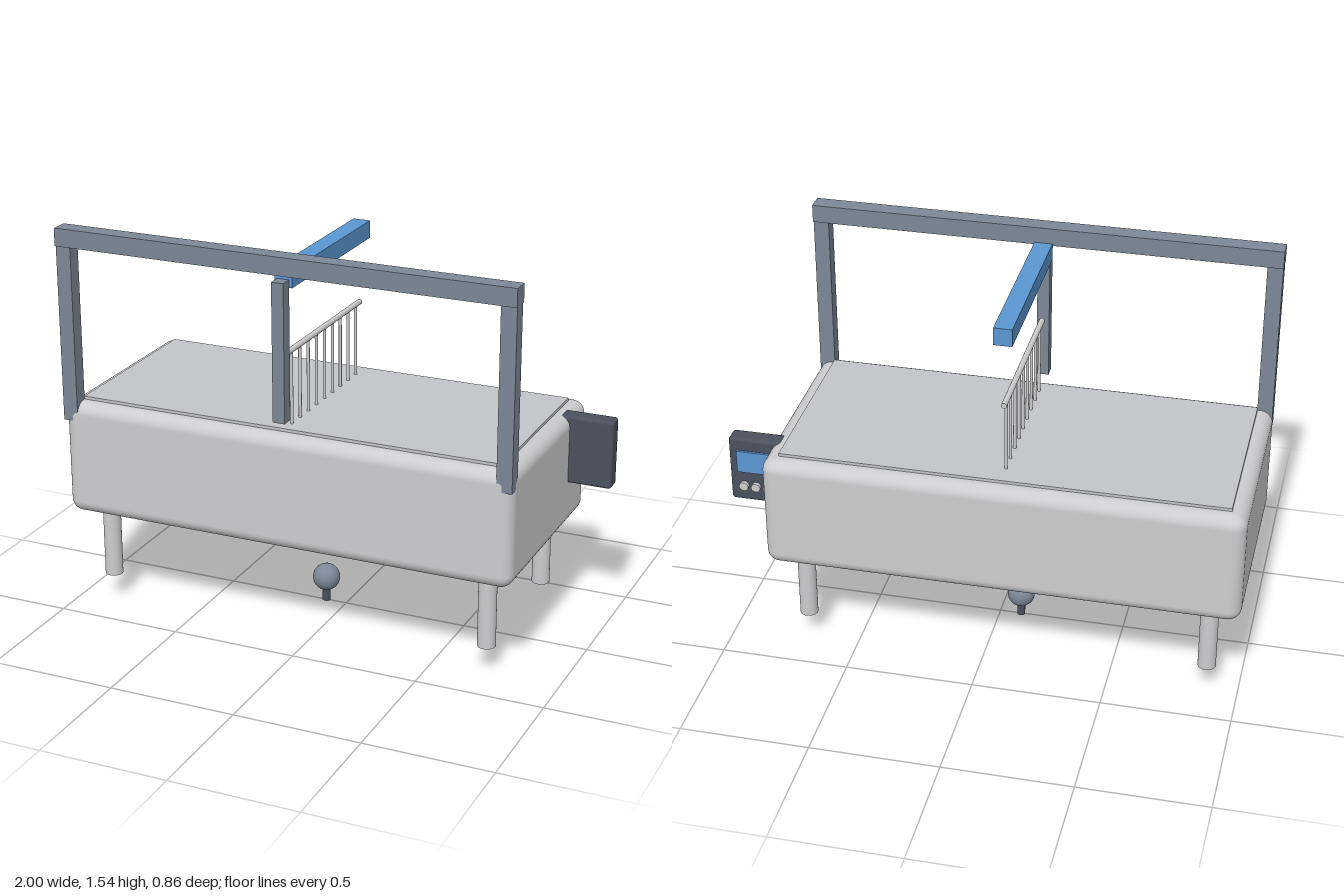
import * as THREE from 'three';
import { RoundedBoxGeometry } from 'three/addons/geometries/RoundedBoxGeometry.js';

const material = (name, color) => {
  const m = new THREE.MeshStandardMaterial({ color });
  m.name = name;
  return m;
};

export function createModel() {
  const model = new THREE.Group();
  model.name = 'gantryTable';
  const shell = material('light grey', 0xcdcdcf);
  const surface = material('table grey', 0xc3c4c8);
  const slate = material('slate', 0x7c8896);
  const dark = material('dark slate', 0x4a515e);
  const blue = material('blue', 0x5b96d2);
  const cx = -0.085; // centre line of the table

  const add = (name, geometry, mat, x, y, z, parent = model) => {
    const mesh = new THREE.Mesh(geometry, mat);
    mesh.name = name;
    mesh.position.set(x, y, z);
    parent.add(mesh);
    return mesh;
  };
  // Box given by its limits on each axis
  const box = (name, mat, [x0, x1], [y0, y1], [z0, z1], parent, radius = 0) => {
    const size = [x1 - x0, y1 - y0, z1 - z0];
    const geometry = radius
      ? new RoundedBoxGeometry(...size, 5, radius)
      : new THREE.BoxGeometry(...size);
    return add(name, geometry, mat, (x0 + x1) / 2, (y0 + y1) / 2, (z0 + z1) / 2, parent);
  };
  const group = (name) => {
    const g = new THREE.Group();
    g.name = name;
    model.add(g);
    return g;
  };

  // Table body and top plate
  box('tableBody', shell, [-1, 0.83], [0.39, 0.848], [-0.43, 0.425], model, 0.05);
  box('tableTop', surface, [-0.94, 0.77], [0.84, 0.86], [-0.37, 0.367]);

  // Legs
  const legs = group('legs');
  for (const x of [-0.875, 0.705])
    for (const z of [-0.305, 0.305])
      add('leg', new THREE.CylinderGeometry(0.035, 0.035, 0.31, 32), shell, x, 0.255, z, legs);

  // Gantry frame along the front edge
  const gantry = group('gantry');
  for (const side of [-1, 1])
    box('post', slate, [cx + side * 0.884 - 0.03, cx + side * 0.884 + 0.03],
      [0.775, 1.48], [0.367, 0.424], gantry);
  box('crossBeam', slate, [-1, 0.83], [1.47, 1.54], [0.36, 0.43], gantry);
  box('hangingPost', slate, [cx - 0.024, cx + 0.024], [0.9, 1.44], [0.37, 0.42], gantry);
  box('carriageArm', blue, [cx - 0.035, cx + 0.035], [1.409, 1.478], [-0.342, 0.367], gantry);

  // Comb of thin rods below the arm
  const comb = group('comb');
  const bar = add('combBar', new THREE.CylinderGeometry(0.011, 0.011, 0.67, 20), shell, cx, 1.15, 0.013, comb);
  bar.rotation.x = Math.PI / 2;
  for (let i = 0; i < 9; i++)
    add('tine', new THREE.CylinderGeometry(0.006, 0.006, 0.29, 12), shell, cx, 1.0, 0.306 - i * 0.0735, comb);

  // Control panel facing backwards
  const panel = group('controlPanel');
  box('panelCase', dark, [0.79, 1], [0.575, 0.848], [-0.285, -0.214], panel, 0.013);
  box('screen', blue, [0.828, 0.968], [0.705, 0.797], [-0.294, -0.2845], panel);
  [[0.945, shell], [0.897, shell], [0.85, blue]].forEach(([x, mat]) => {
    const knob = add('knob', new THREE.CylinderGeometry(0.018, 0.018, 0.02, 24), mat, x, 0.643, -0.29, panel);
    knob.rotation.x = Math.PI / 2;
  });

  // Small ball on a stem under the table
  const sensor = group('floorBall');
  add('ball', new THREE.SphereGeometry(0.054, 32, 20), slate, cx, 0.1, 0, sensor);
  add('stem', new THREE.CylinderGeometry(0.016, 0.016, 0.07, 20), dark, cx, 0.035, 0, sensor);

  return model;
}
